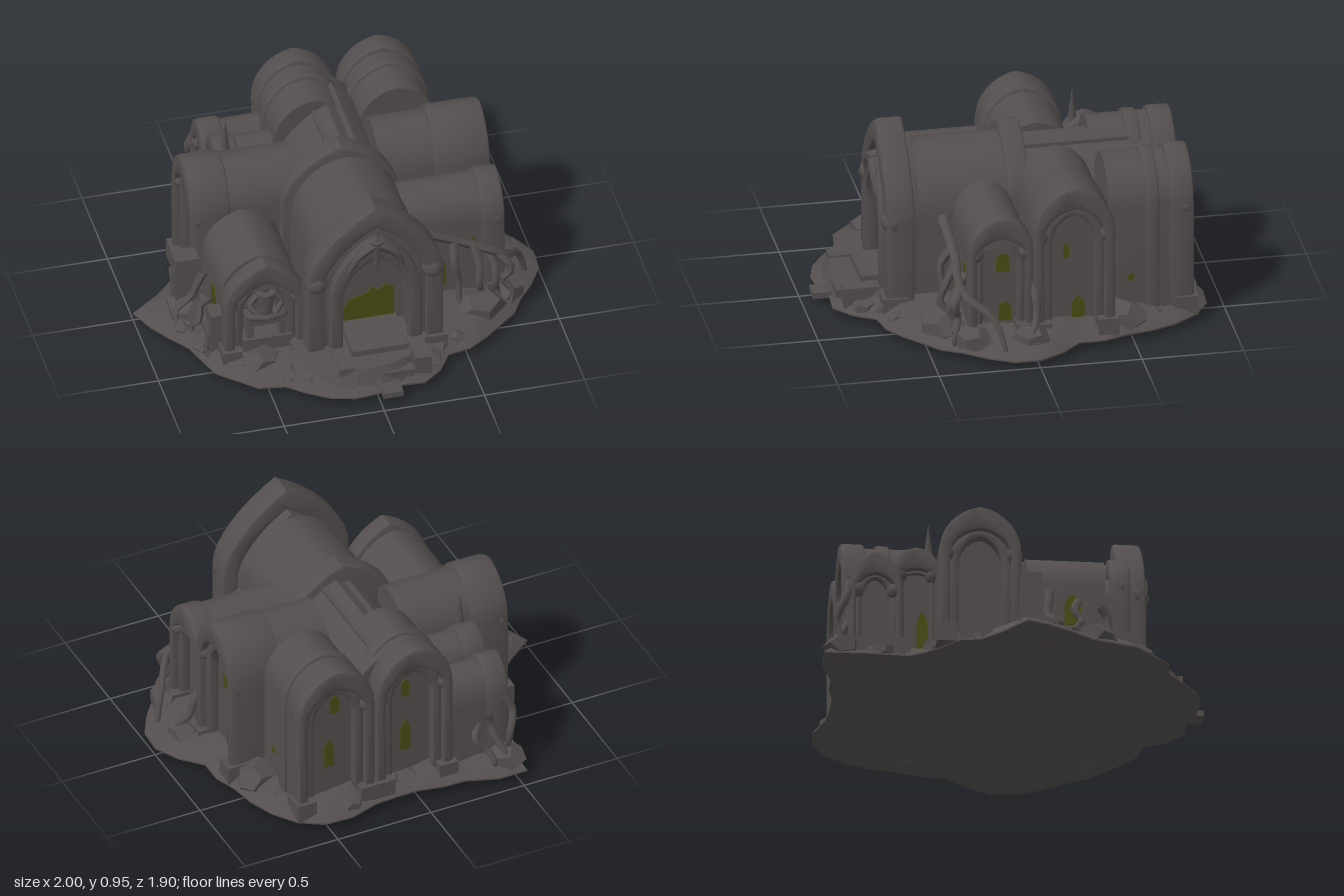
import * as THREE from 'three';
import { toCreasedNormals } from 'three/addons/utils/BufferGeometryUtils.js';

export function createModel() {
  const root = new THREE.Group();
  root.name = 'ruinedVaultedTemple';
  const stone = new THREE.MeshStandardMaterial({ color: 0x534e4d });
  stone.name = 'darkStone';
  const moss = new THREE.MeshStandardMaterial({ color: 0x474c12 });
  moss.name = 'oliveGlow';

  let seed = 7;
  const rnd = () => (seed = (seed * 16807) % 2147483647) / 2147483647;

  function add(parent, name, geo, x = 0, y = 0, z = 0, mat = stone) {
    const m = new THREE.Mesh(geo, mat);
    m.name = name;
    m.position.set(x, y, z);
    parent.add(m);
    return m;
  }
  const box = (p, name, w, h, d, x, y, z) => add(p, name, new THREE.BoxGeometry(w, h, d), x, y, z);

  // Arch outline from the left foot, over the crown, to the right foot
  function archPts(w, foot, spring, top, point) {
    const pts = [new THREE.Vector2(-w, foot)];
    for (let i = 0; i <= 16; i++) {
      const a = Math.PI * (1 - i / 16), c = Math.cos(a), s = Math.max(Math.sin(a), 0) ** 0.9;
      pts.push(new THREE.Vector2(w * c, spring + (top - spring) * (s * (1 - point) + point * (1 - Math.abs(c)))));
    }
    pts.push(new THREE.Vector2(w, foot));
    return pts;
  }
  // Extrusion whose front face lies at z = 0
  function slab(pts, depth, bevel = 0) {
    const g = new THREE.ExtrudeGeometry(new THREE.Shape(pts), {
      depth: depth - 2 * bevel, bevelEnabled: bevel > 0, bevelSize: bevel, bevelThickness: bevel,
      bevelOffset: -bevel, bevelSegments: 2,
    });
    g.translate(0, 0, -depth + bevel);
    return toCreasedNormals(g, 0.7);
  }
  const ring = (outer, inner, depth) => slab([...outer, ...inner.reverse()], depth, 0.018);
  const glow = (parent, x, y, z, w, h) =>
    add(parent, 'glow', slab(archPts(w, 0, h * 0.6, h, 0.2), 0.006), x, y, z, moss);

  // Vaulted bay: solid vault, outer rib, inner rib, corner piers and glowing slits [x, y, half width, height]
  function bay(name, x, z, face, w, spring, top, depth,
    { frame = 0.12, recess = 0.08, point = 0.12, vaultW = w * 0.93, vaultTop = top - 0.025, slits = [], pier = 0.07 } = {}) {
    const g = new THREE.Group();
    g.name = name;
    g.position.set(x, 0, z);
    g.rotation.y = face;
    root.add(g);
    add(g, 'vault', slab(archPts(vaultW, 0.03, spring, vaultTop, point * 0.5), depth - recess), 0, 0, -recess);
    add(g, 'outerRib', ring(archPts(w, 0.03, spring, top, point),
      archPts(w * 0.74, 0.03, spring - 0.02, top - 0.12, point), frame));
    add(g, 'innerRib', ring(archPts(w * 0.78, 0.03, spring - 0.04, top - 0.11, point),
      archPts(w * 0.52, 0.03, spring - 0.06, spring + (top - spring) * 0.38, point), recess - 0.01), 0, 0, -0.03);
    for (const s of [-1, 1]) {
      const px = s * (w - pier / 2);
      box(g, 'pierBase', pier + 0.03, 0.1, 0.12, px, 0.08, -0.04);
      add(g, 'pierCap', new THREE.SphereGeometry(pier * 0.6, 8, 6), px, spring, -0.04);
    }
    for (const [sx, sy, sw, sh] of slits) glow(g, sx, sy, 0.006 - recess, sw, sh);
  }

  // Rocky ground plate: one radius every 15 degrees, split once with a ragged midpoint
  const radii = [1, .79, .76, .76, 1.09, .92, .86, .9, 1.05, 1.02, .92, .87,
    1, .96, .91, .86, .8, .91, .91, .92, .86, .91, .89, .91];
  const n = radii.length * 2, pos = [], idx = [];
  const radius = Array.from({ length: n }, (_, i) => i % 2
    ? (radii[(i - 1) / 2] + radii[((i + 1) / 2) % radii.length]) / 2 + (rnd() - 0.5) * 0.07 : radii[i / 2]);
  const onGround = (i, s) => {
    const a = Math.PI * (2 * i / n - 1), r = radius[i % n] * s;
    return [Math.cos(a) * r, Math.sin(a) * r];
  };
  const levels = [[0, 0.022], [0.85, 0.024], [1, 0.026], [1, 0.034], [0.93, 0.06], [0.84, 0.09], [0, 0.11]];
  levels.forEach(([s, y], j) => {
    for (let i = 0; i < n; i++) {
      const [x, z] = onGround(i, s), bump = j === 1 ? -0.02 : j === 4 || j === 5 ? 0.03 : 0;
      pos.push(x, y + bump * rnd(), z);
      if (j < levels.length - 1) {
        const a = j * n + i, b = j * n + (i + 1) % n;
        idx.push(a, a + n, b, b, a + n, b + n);
      }
    }
  });
  const ground = new THREE.BufferGeometry();
  ground.setAttribute('position', new THREE.Float32BufferAttribute(pos, 3));
  ground.setIndex(idx);
  add(root, 'ground', toCreasedNormals(ground, 0.6));

  // Small rubble along the rim and larger heaps against the walls
  function rock(name, x, y, z, r, flat) {
    const m = add(root, name, new THREE.DodecahedronGeometry(r, 0), x, y, z);
    m.rotation.y = rnd() * 6;
    m.scale.set(1.3, flat, 1);
  }
  for (let i = 0; i < n; i++) {
    const [x, z] = onGround(i, 0.82 + rnd() * 0.1);
    rock('rubble', x, 0.06, z, 0.03 + rnd() * 0.03, 0.8);
  }
  for (const [x, z, r] of [[0.62, 0.42, 0.11], [0.8, 0.3, 0.08], [0.84, 0.02, 0.08], [0.68, -0.47, 0.1],
    [-0.76, 0.1, 0.1], [-0.7, 0.35, 0.09], [-0.47, -0.84, 0.09], [-0.5, 0.57, 0.08]]) rock('heap', x, 0.08, z, r, 0.85);

  // Nave, crossing rib and the tall front portal
  const R = Math.PI / 2;
  add(root, 'frontNave', slab(archPts(0.27, 0.03, 0.5, 0.81, 0.1), 0.5), 0.05, 0, 0.46);
  add(root, 'rearNave', slab(archPts(0.24, 0.03, 0.52, 0.8, 0.4), 0.7), 0.07, 0, 0);
  add(root, 'crossingRib', slab(archPts(0.295, 0.03, 0.55, 0.87, 0.3), 0.11, 0.014), 0.03, 0, 0.03);
  for (const x of [0.01, 0.13]) box(root, 'ridgeRib', 0.03, 0.05, 0.55, x, 0.75, -0.33);
  bay('frontPortal', 0.05, 0.64, 0, 0.34, 0.52, 0.94, 0.25,
    { frame: 0.14, recess: 0.17, point: 0.45, vaultW: 0.27, vaultTop: 0.81, pier: 0.1 });
  const blob = [[-.13, 0], [.13, 0], [.13, .18], [.09, .2], [.04, .17], [.03, .2], [-.01, .16], [-.09, .14], [-.12, .09]];
  add(root, 'portalGlow', slab(blob.map(p => new THREE.Vector2(...p)), 0.006), 0.05, 0.15, 0.478, moss);
  add(root, 'porchArch', ring(archPts(0.23, 0.12, 0.42, 0.77, 0.3), archPts(0.165, 0.12, 0.4, 0.64, 0.2), 0.07), 0.05, 0, 0.655);

  // Tapering limb through a few points, used for roots, wings and statue arms
  function limb(name, pts, r0, r1) {
    const curve = new THREE.CatmullRomCurve3(pts.map(p => new THREE.Vector3(...p)));
    const g = new THREE.TubeGeometry(curve, 14, 1, 6), p = g.attributes.position;
    const c = new THREE.Vector3(), v = new THREE.Vector3();
    for (let i = 0; i < p.count; i++) {
      const t = Math.floor(i / 7) / 14;
      curve.getPointAt(t, c);
      v.fromBufferAttribute(p, i).sub(c).multiplyScalar(r0 + (r1 - r0) * t).add(c);
      p.setXYZ(i, v.x, v.y, v.z);
    }
    g.computeVertexNormals();
    add(root, name, g);
  }

  // Carved crest with drooping wings over the portal
  add(root, 'crest', new THREE.ConeGeometry(0.04, 0.25, 6), 0.05, 0.63, 0.64).rotation.x = Math.PI;
  for (const s of [-1, 1])
    limb('crestWing', [[0.05, 0.74, 0.64], [0.05 + s * 0.09, 0.68, 0.65], [0.05 + s * 0.15, 0.56, 0.64]], 0.032, 0.013);

  // Porch mound and steps
  add(root, 'porchMound', new THREE.CylinderGeometry(0.32, 0.38, 0.1, 14), -0.03, 0.085, 0.6).scale.z = 0.75;
  for (let i = 0; i < 3; i++) box(root, 'step', 0.28, 0.04, 0.4 - i * 0.06, 0.05, 0.08 + i * 0.033, 0.65 - i * 0.03);
  for (const s of [-1, 1]) box(root, 'stepCheek', 0.08, 0.11, 0.18, 0.05 + s * 0.19, 0.09, 0.74);
  box(root, 'doorstep', 0.1, 0.03, 0.15, 0.06, 0.04, 0.875);

  // Side chapels and transepts
  bay('frontLeftChapel', -0.47, 0.53, 0, 0.205, 0.38, 0.615, 0.5, { frame: 0.1, recess: 0.12, point: 0.35 });
  bay('rightTransept', 0.79, -0.21, R, 0.2, 0.57, 0.835, 0.55,
    { frame: 0.28, slits: [[-0.03, 0.43, 0.014, 0.08], [0.03, 0.11, 0.03, 0.11]] });
  bay('rightFrontTransept', 0.78, 0.15, R, 0.16, 0.5, 0.7, 0.5,
    { slits: [[0.02, 0.38, 0.032, 0.1], [0.03, 0.12, 0.03, 0.1]] });
  bay('leftTransept', -0.71, -0.2, -R, 0.2, 0.52, 0.765, 0.55, { frame: 0.2 });
  bay('rearLeftChapel', -0.51, -0.69, -R, 0.13, 0.4, 0.6, 0.35);
  bay('rearLeftVault', -0.49, -0.49, -R, 0.12, 0.5, 0.64, 0.4, { slits: [[0.03, 0.1, 0.027, 0.22]] });
  bay('rearChapel', 0, -0.83, Math.PI, 0.205, 0.6, 0.855, 0.42,
    { slits: [[-0.02, 0.54, 0.02, 0.1], [-0.02, 0.22, 0.026, 0.17]] });
  bay('rearRightChapel', 0.42, -0.83, Math.PI, 0.205, 0.6, 0.855, 0.42,
    { slits: [[0.02, 0.56, 0.025, 0.1], [-0.01, 0.25, 0.026, 0.15]] });
  for (const x of [0, 0.42])
    add(root, 'rearRoofRib', slab(archPts(0.205, 0.03, 0.6, 0.85, 0.12), 0.07, 0.014), x, 0, -0.59);

  // Glowing patches on the front right, left and rear right side walls
  glow(root, 0.43, 0.15, 0.305, 0.055, 0.17);
  glow(root, 0.62, 0.35, 0.305, 0.016, 0.06);
  glow(root, -0.665, 0.17, 0.25, 0.04, 0.16).rotation.y = -R;
  glow(root, 0.615, 0.23, -0.52, 0.014, 0.04).rotation.y = R;

  // Seated statue on its shelf in the front left niche
  box(root, 'statuePlinth', 0.24, 0.1, 0.1, -0.46, 0.12, 0.47);
  box(root, 'statueShelf', 0.2, 0.03, 0.1, -0.46, 0.27, 0.47);
  for (const s of [-1, 1]) {
    box(root, 'shelfLeg', 0.03, 0.1, 0.07, -0.46 + s * 0.08, 0.21, 0.47);
    limb('statueArm', [[-0.46 + s * 0.04, 0.4, 0.47], [-0.46 + s * 0.08, 0.35, 0.48], [-0.46 + s * 0.04, 0.31, 0.52]], 0.018, 0.014);
    limb('statueLeg', [[-0.46 + s * 0.03, 0.3, 0.47], [-0.46 + s * 0.09, 0.3, 0.5], [-0.46, 0.295, 0.53]], 0.024, 0.016);
  }
  add(root, 'statueBody', new THREE.CylinderGeometry(0.05, 0.035, 0.13, 8), -0.46, 0.35, 0.47);
  add(root, 'statueHead', new THREE.SphereGeometry(0.03, 10, 8), -0.46, 0.445, 0.47);

  // Broken buttresses and the slim rear spire
  box(root, 'brokenButtress', 0.12, 0.35, 0.1, -0.75, 0.2, 0.04);
  box(root, 'brokenButtress', 0.07, 0.26, 0.1, -0.69, 0.16, 0.4);
  add(root, 'spire', new THREE.ConeGeometry(0.025, 0.2, 6), -0.43, 0.69, -0.43);

  // Crooked dead roots leading from the walls down to the ground
  function deadRoot(x, y, z, dx, dz) {
    const jog = () => (rnd() - 0.5) * 0.07;
    const at = (t, h) => [x + dx * t + jog(), 0.03 + (y - 0.03) * h, z + dz * t + jog()];
    limb('root', [at(0, 1), at(0.3, 0.75), at(0.55, 0.5), at(0.75, 0.28), at(1, 0)], 0.024, 0.012);
  }
  limb('fallenBranch', [[0.36, 0.53, 0.36], [0.55, 0.43, 0.34], [0.76, 0.32, 0.34], [0.87, 0.2, 0.2], [0.92, 0.03, 0.15]], 0.026, 0.015);
  deadRoot(0.76, 0.34, 0, 0.16, 0.03);
  for (let i = 0; i < 4; i++) {
    deadRoot(0.52 + i * 0.08, 0.45 - i * 0.04, 0.34, 0.04, 0.12 - i * 0.02);
    if (i) deadRoot(-0.71, 0.38 - i * 0.05, i * 0.13, -0.16 + i * 0.04, 0.04);
    if (i) deadRoot(-0.56 + i * 0.07, 0.52 - i * 0.08, -0.82, -0.02, -0.07);
  }
  return root;
}
